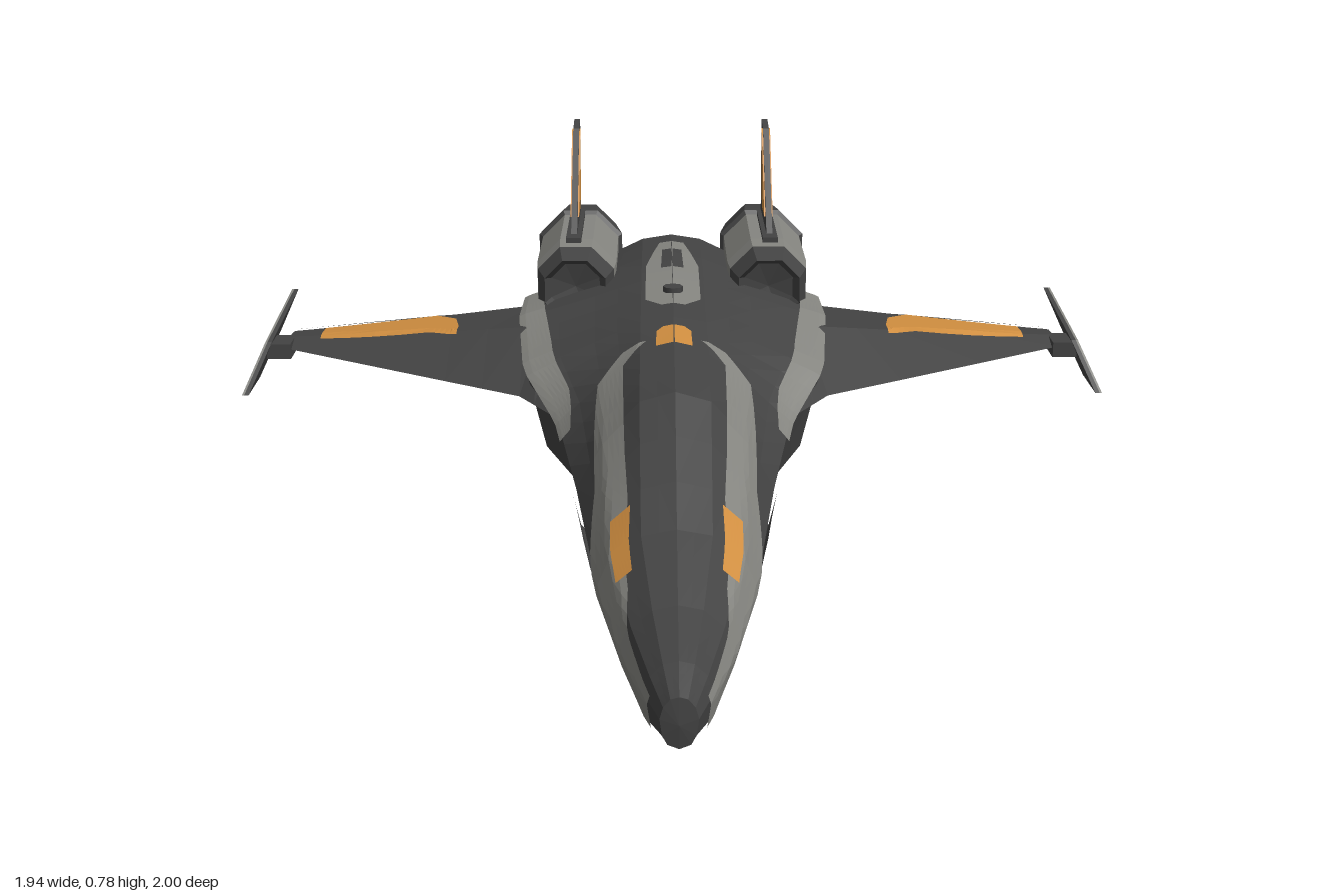
import * as THREE from 'three';

const paint = (name, color) => {
  const m = new THREE.MeshStandardMaterial({ color, side: THREE.DoubleSide });
  m.name = name;
  return m;
};

// Lofted surface: stations [t, ring of points], read at any t and any ring position u
function surface(stations) {
  const dir = Math.sign(stations[1][0] - stations[0][0]);
  const at = (t, u) => {
    let k = 0;
    while (k < stations.length - 2 && (t - stations[k + 1][0]) * dir > 0) k++;
    const [t0, A] = stations[k], [t1, B] = stations[k + 1];
    const f = THREE.MathUtils.clamp((t - t0) / (t1 - t0), 0, 1);
    const j = Math.min(Math.max(Math.floor(u), 0), A.length - 2);
    const ring = (R) => new THREE.Vector3(...R[j]).lerp(new THREE.Vector3(...R[j + 1]), u - j);
    return ring(A).lerp(ring(B), f);
  };
  const normal = (t, u) => {
    const n = stations[0][1].length - 1, e = 0.02;
    const du = at(t, Math.min(u + e, n)).sub(at(t, Math.max(u - e, 0)));
    const dt = at(t + dir * 0.004, u).sub(at(t - dir * 0.004, u));
    return du.cross(dt).normalize();
  };
  return { at, normal, stations };
}

// Flat-shaded sheet over rows [t, uStart, uEnd], lifted off the surface
function sheet(s, rows, lift = 0, nu = 6, sub = 4) {
  const grid = [];
  rows.forEach((r, i) => {
    const steps = i < rows.length - 1 ? sub : 1;
    for (let k = 0; k < steps; k++) {
      const [t, a, b] = r.map((v, c) => (k ? v + ((rows[i + 1][c] - v) * k) / steps : v));
      const line = [];
      for (let j = 0; j <= nu; j++) {
        const u = a + ((b - a) * j) / nu, p = s.at(t, u);
        if (lift) p.addScaledVector(s.normal(t, u), lift);
        line.push(p);
      }
      grid.push(line);
    }
  });
  const tri = [];
  for (let i = 0; i < grid.length - 1; i++)
    for (let j = 0; j < nu; j++) {
      const a = grid[i][j], b = grid[i][j + 1], c = grid[i + 1][j + 1], d = grid[i + 1][j];
      tri.push(a, b, c, a, c, d);
    }
  const g = new THREE.BufferGeometry().setFromPoints(tri);
  g.computeVertexNormals();
  return g;
}

// Upright plate from a side outline of [z, y] points, centred on x
function plate(outline, thick, x = 0) {
  const shape = new THREE.Shape(outline.map(([z, y]) => new THREE.Vector2(-z, y)));
  return new THREE.ExtrudeGeometry(shape, { depth: thick, bevelEnabled: false })
    .rotateY(Math.PI / 2).translate(x - thick / 2, 0, 0);
}

// Eight-sided engine part along z from [radius, z] points
function turned(profile) {
  const pts = profile.map(([r, z]) => new THREE.Vector2(r, -z));
  const g = new THREE.LatheGeometry(pts, 8, Math.PI / 8).rotateX(-Math.PI / 2).translate(0.222, 0.458, 0).toNonIndexed();
  g.computeVertexNormals();
  return g;
}

function mirrored(geo) {
  const g = geo.index ? geo.toNonIndexed() : geo.clone();
  const p = g.attributes.position;
  for (let i = 0; i < p.count; i++) p.setX(i, -p.getX(i));
  for (let i = 0; i < p.count; i += 3) {
    const b = [p.getX(i + 1), p.getY(i + 1), p.getZ(i + 1)];
    p.setXYZ(i + 1, p.getX(i + 2), p.getY(i + 2), p.getZ(i + 2));
    p.setXYZ(i + 2, ...b);
  }
  g.computeVertexNormals();
  return g;
}

// Fuselage half ring: spine, canopy edge, shoulder, chine, lower side, keel edge, keel
function section(z, top, chineX, chineY, sideY, keelX, bottom) {
  const drop = top - chineY;
  return [z, [
    [0, top, z],
    [Math.min(chineX * 0.45, 0.07), top - drop * 0.1, z],
    [Math.min(chineX * 0.82, 0.09 + chineX * 0.25), top - drop * 0.47, z],
    [chineX, chineY, z],
    [chineX * 0.87, sideY, z],
    [keelX, bottom + 0.008, z],
    [0, bottom, z],
  ]];
}

// Wing ring: trailing edge, over the top to the leading edge, back below
function rib(x, lead, trail, top) {
  const z = (f) => lead + (trail - lead) * f, low = 0.31, edge = 0.32;
  return [x, [
    [x, edge, trail], [x, edge + (top - edge) * 0.75, z(0.7)], [x, top, z(0.32)], [x, edge, lead],
    [x, low, z(0.32)], [x, low, z(0.7)], [x, edge, trail],
  ]];
}

export function createModel() {
  const model = new THREE.Group();
  model.name = 'spaceFighter';
  const dark = paint('charcoal', 0x434343);
  const grey = paint('grey', 0x858580);
  const orange = paint('orange', 0xd08e40);

  const add = (name, geo, mat) => {
    const m = new THREE.Mesh(geo, mat);
    m.name = name;
    model.add(m);
  };
  const pair = (name, geo, mat) => {
    add(name + 'Left', geo, mat);
    add(name + 'Right', mirrored(geo), mat);
  };

  // Fuselage, closed to a point at both ends
  const tipRing = (z, y) => [z, Array(7).fill([0, y, z])];
  const hull = surface([
    tipRing(1, 0.1),
    section(0.995, 0.15, 0.033, 0.11, 0.08, 0.02, 0.055),
    section(0.92, 0.18, 0.06, 0.12, 0.07, 0.03, 0.045),
    section(0.78, 0.22, 0.1, 0.13, 0.08, 0.04, 0.04),
    section(0.6, 0.29, 0.145, 0.17, 0.1, 0.05, 0.045),
    section(0.28, 0.45, 0.195, 0.25, 0.14, 0.07, 0.035),
    section(0.05, 0.475, 0.24, 0.31, 0.19, 0.1, 0.06),
    section(-0.12, 0.49, 0.315, 0.37, 0.2, 0.15, 0.13),
    section(-0.4, 0.505, 0.34, 0.41, 0.22, 0.17, 0.15),
    section(-0.6, 0.51, 0.34, 0.4, 0.28, 0.15, 0.235),
    section(-0.84, 0.5, 0.26, 0.39, 0.37, 0.12, 0.36),
    tipRing(-0.845, 0.42),
  ]);
  pair('fuselage', sheet(hull, hull.stations.map(([z]) => [z, 0, 6]), 0, 12, 3), dark);

  // Fuselage paint
  pair('noseStripe', sheet(hull, [[0.95, 2.5, 4], [0.8, 2.2, 3.6], [0.7, 1.7, 3.3], [0.5, 1.35, 2.9],
    [0.38, 1.4, 2.4], [0.06, 1.4, 2.05], [0, 0.8, 1.4]], 0.005), grey);
  pair('noseMarker', sheet(hull, [[0.67, 1.4, 2], [0.52, 1.25, 1.9]], 0.008), orange);
  pair('shoulderStripe', sheet(hull, [[0.12, 2.75, 3], [0, 2.55, 3], [-0.2, 2.6, 3], [-0.6, 2.75, 3]], 0.008), grey);
  pair('spineStripe', sheet(hull, [[-0.2, 0, 0.35], [-0.25, 0, 0.85], [-0.5, 0, 0.85], [-0.73, 0, 0.4]], 0.005), grey);
  pair('spineSlot', sheet(hull, [[-0.46, 0, 0.35], [-0.62, 0, 0.3]], 0.009), dark);
  pair('canopyMarker', sheet(hull, [[0.04, 0, 0.52], [-0.04, 0, 0.5], [-0.06, 0, 0.3]], 0.006), orange);
  pair('sideIntakePanel', sheet(hull, [[0.43, 3.7, 3.8], [0.38, 3.4, 4.1], [0.22, 3.4, 4.1]], 0.009), dark);
  add('spinePort', new THREE.CylinderGeometry(0.022, 0.022, 0.02, 8).translate(0, 0.503, -0.29), dark);

  // Chin sensor
  add('chinSensor', plate([[0.66, 0.03], [0.53, 0], [0.5, 0.03], [0.52, 0.05], [0.6, 0.05]], 0.04), dark);

  // Wings with painted panels above and below
  const wing = surface([
    rib(0.26, 0.02, -0.82, 0.405), rib(0.33, -0.1, -0.8, 0.41), rib(0.5, -0.21, -0.745, 0.385),
    rib(0.89, -0.465, -0.615, 0.335), [0.893, Array(7).fill([0.893, 0.32, -0.54])],
  ]);
  pair('wing', sheet(wing, wing.stations.map(([x]) => [x, 0, 6]), 0, 6, 2), dark);
  const panel = [[0.485, 1.85, 2.1], [0.5, 1.4, 2.1], [0.55, 1.1, 2.05], [0.81, 1.3, 2.25]];
  const flap = [[0.53, 0, 0.25], [0.56, 0, 0.42], [0.88, 0, 0.6]];
  const below = (rows) => rows.map(([x, a, b]) => [x, 6 - b, 6 - a]);
  pair('wingPanelTop', sheet(wing, panel, 0.005), orange);
  pair('wingPanelBottom', sheet(wing, below(panel), 0.005), orange);
  pair('wingFlapTop', sheet(wing, flap, 0.004), grey);
  pair('wingFlapBottom', sheet(wing, below(flap), 0.004), grey);

  // Slanted wing-tip fins with a light outer face
  const slanted = (thick, x) => {
    const g = plate([[-0.33, 0.25], [-0.47, 0.25], [-0.6, 0.33], [-0.68, 0.405], [-0.45, 0.34]], thick, x);
    const p = g.attributes.position;
    for (let i = 0; i < p.count; i++) p.setX(i, p.getX(i) - 0.4 * (p.getY(i) - 0.325));
    g.computeVertexNormals();
    return g;
  };
  pair('tipFin', slanted(0.01, 0.931), dark);
  pair('tipFinOuterFace', slanted(0.005, 0.9385), grey);
  pair('tipMount', new THREE.BoxGeometry(0.055, 0.035, 0.08).translate(0.905, 0.318, -0.485), dark);

  // Engines: dark inlet, grey casing, flared open nozzle
  pair('engineInlet', turned([[0, -0.5], [0.06, -0.49], [0.075, -0.46], [0.095, -0.52]]), dark);
  pair('engineCasing', turned([[0.095, -0.52], [0.1, -0.58], [0.1, -0.84]]), grey);
  pair('engineNozzle', turned([[0.09, -0.83], [0.11, -0.845], [0.106, -0.88], [0.089, -1], [0.078, -1], [0.06, -0.88], [0, -0.87]]), dark);
  pair('engineSpine', new THREE.BoxGeometry(0.035, 0.02, 0.3).translate(0.228, 0.55, -0.7), dark);

  // Tail fins with a colour panel showing on both faces
  pair('tailFin', plate([[-0.585, 0.555], [-0.8, 0.77], [-0.875, 0.78], [-0.86, 0.555]], 0.014, 0.228), dark);
  pair('tailFinPanel', plate([[-0.64, 0.59], [-0.79, 0.755], [-0.815, 0.768], [-0.77, 0.61], [-0.74, 0.59]], 0.02, 0.228), orange);

  return model;
}
